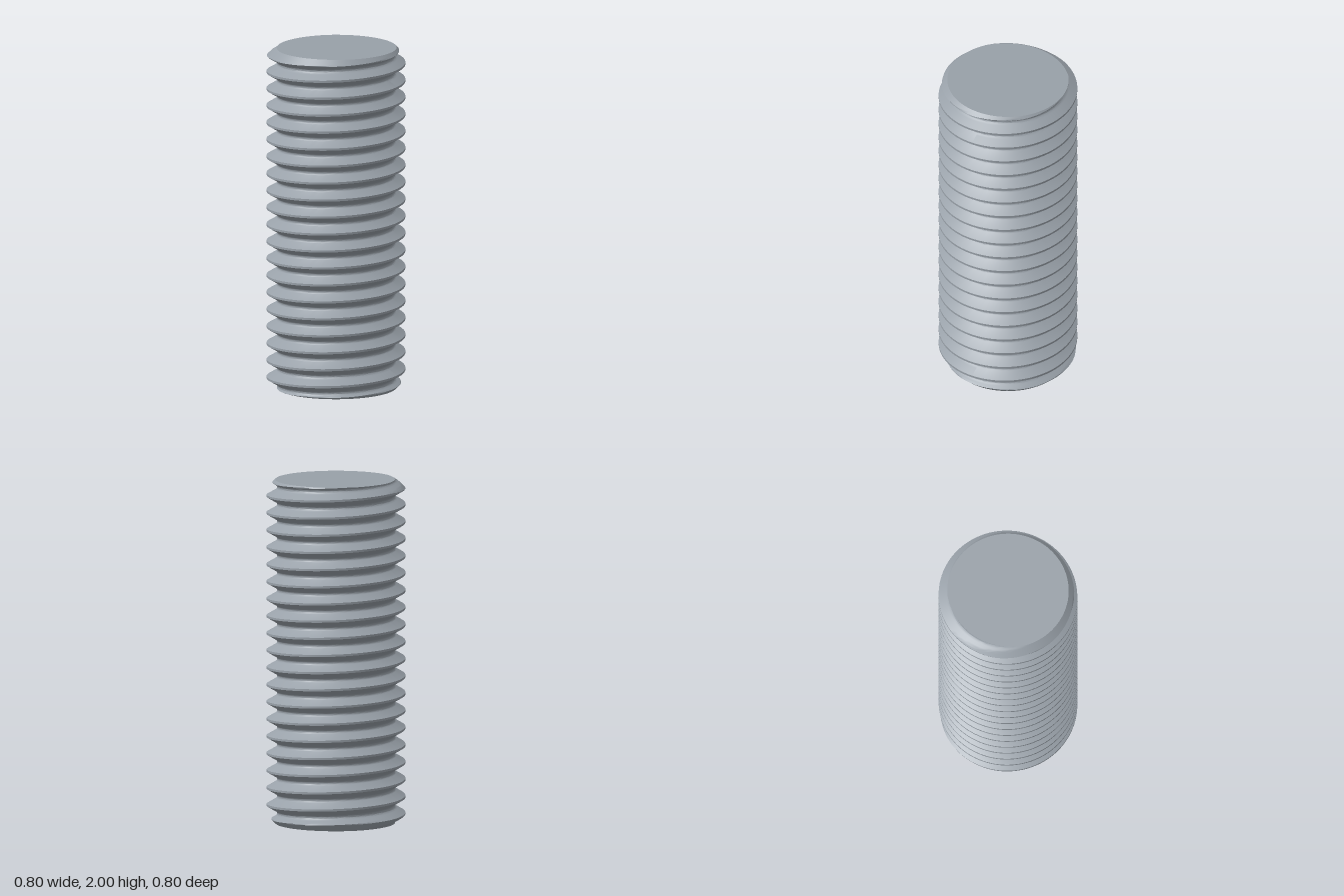
import * as THREE from 'three';
import { toCreasedNormals } from 'three/addons/utils/BufferGeometryUtils.js';

const HEIGHT = 2, PITCH = 0.1, TURNS = 20, SIDES = 96;
const CREST = 0.4, END_RADIUS = 0.35;

// One pitch of the thread as [height, radius]: flat crest, 60 degree flanks, rounded root
function threadProfile() {
  const points = [[0, CREST], [0.00625, CREST]];
  const rootRadius = 0.0144, steps = 6;
  for (let i = 0; i <= steps; i++) {
    const a = THREE.MathUtils.degToRad(-60 + (120 * i) / steps);
    points.push([0.05 + rootRadius * Math.sin(a), 0.3533 - rootRadius * Math.cos(a)]);
  }
  points.push([PITCH - 0.00625, CREST], [PITCH, CREST]);
  return points;
}

// Helical rows [height, radius], finer in the end turns where the chamfer cuts the thread
function threadRows() {
  const profile = threadProfile(), rows = [[0, CREST]];
  for (let turn = 0; turn <= TURNS; turn++) {
    const cuts = turn < 2 || turn > TURNS - 2 ? 6 : 1;
    for (let i = 1; i < profile.length; i++) {
      const [y0, r0] = profile[i - 1], [y1, r1] = profile[i];
      for (let k = 1; k <= cuts; k++) {
        const t = k / cuts;
        rows.push([turn * PITCH + y0 + (y1 - y0) * t, r0 + (r1 - r0) * t]);
      }
    }
  }
  return rows;
}

// Radius of the profile at a height, measured from a crest
function radiusAt(rows, y) {
  const i = Math.max(1, rows.findIndex((row) => row[0] >= y - 1e-9));
  const [y0, r0] = rows[i - 1], [y1, r1] = rows[i];
  return r0 + ((r1 - r0) * (y - y0)) / (y1 - y0);
}

function buildRod() {
  const rows = threadRows();
  const columns = [];
  for (let j = 0; j <= SIDES; j++) {
    const angle = (j / SIDES) * Math.PI * 2;
    const drop = (PITCH * j) / SIDES;
    const rBottom = radiusAt(rows, drop), rTop = radiusAt(rows, HEIGHT + drop);
    columns.push(rows.map(([rowY, rowR]) => {
      let y = rowY - drop, r = rowR;
      if (y <= 0) { y = 0; r = rBottom; }
      if (y >= HEIGHT) { y = HEIGHT; r = rTop; }
      // 45 degree chamfer at both ends
      r = Math.min(r, END_RADIUS + Math.min(y, HEIGHT - y));
      return new THREE.Vector3(r * Math.cos(angle), y, r * Math.sin(angle));
    }));
  }

  const side = [], caps = [];
  const addTriangle = (list, a, b, c) => {
    const area = b.clone().sub(a).cross(c.clone().sub(a)).length();
    if (area > 1e-10) list.push(a, b, c);
  };
  const bottom = new THREE.Vector3(0, 0, 0), top = new THREE.Vector3(0, HEIGHT, 0);
  const last = rows.length - 1;
  for (let j = 0; j < SIDES; j++) {
    const here = columns[j], next = columns[j + 1];
    for (let i = 0; i < last; i++) {
      addTriangle(side, here[i], here[i + 1], next[i]);
      addTriangle(side, here[i + 1], next[i + 1], next[i]);
    }
    addTriangle(caps, top, next[last], here[last]);
    addTriangle(caps, bottom, here[0], next[0]);
  }
  return { side, caps };
}

export function createModel() {
  const group = new THREE.Group();
  group.name = 'threadedRod';
  const steel = new THREE.MeshStandardMaterial({ color: 0x98a0a8 });
  steel.name = 'steel grey';

  const { side, caps } = buildRod();

  // Threaded shaft, smooth along the helix with sharp crests
  const shaftGeometry = new THREE.BufferGeometry().setFromPoints(side);
  const shaft = new THREE.Mesh(toCreasedNormals(shaftGeometry, 0.5), steel);
  shaft.name = 'threadedShaft';

  // Flat faces closing the top and bottom
  const capGeometry = new THREE.BufferGeometry().setFromPoints(caps);
  capGeometry.computeVertexNormals();
  const ends = new THREE.Mesh(capGeometry, steel);
  ends.name = 'endFaces';

  group.add(shaft, ends);
  return group;
}
